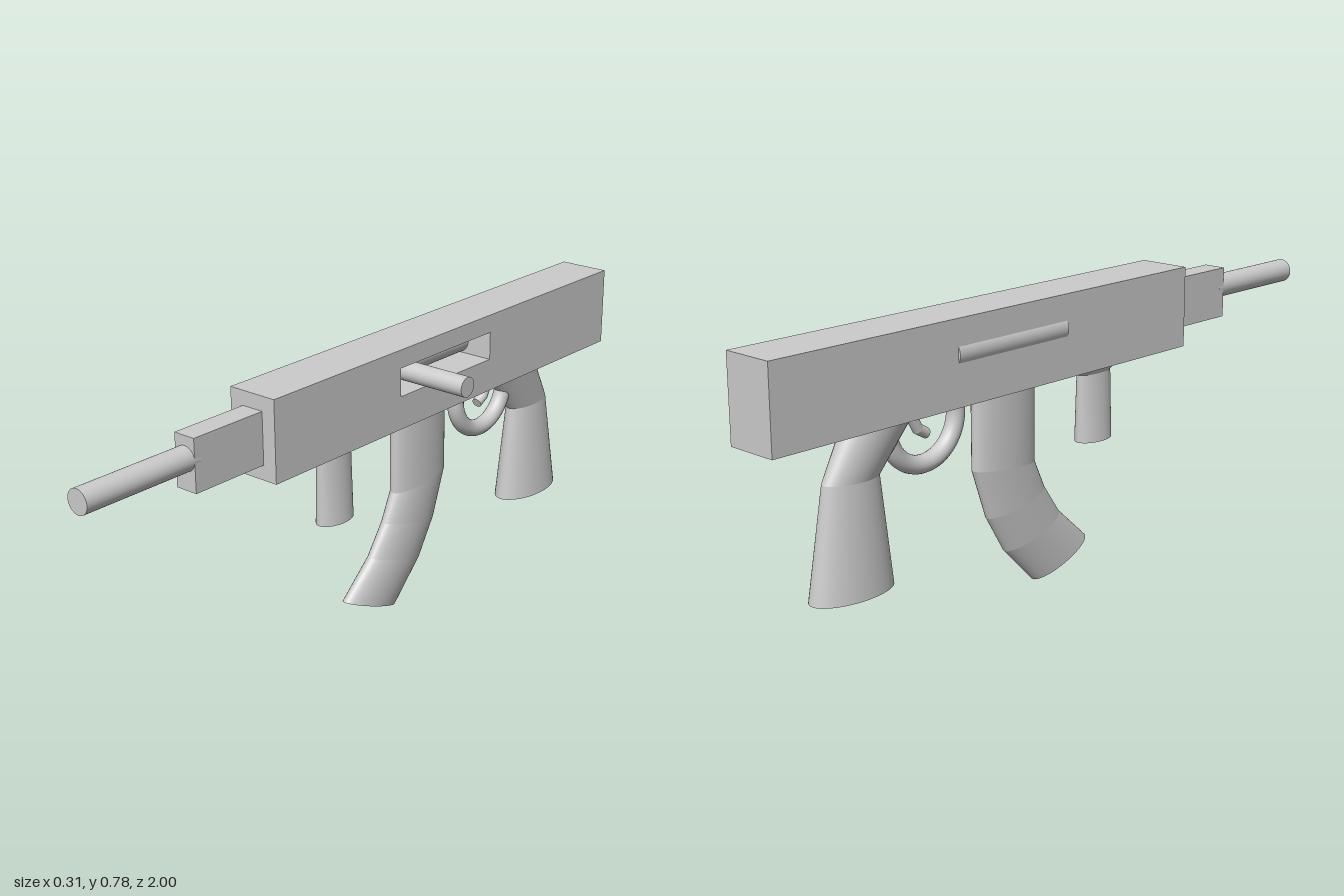
import * as THREE from 'three';

const grey = new THREE.MeshStandardMaterial({ color: 0xcccccc });
const CX = -0.0735; // centre plane of the body

function add(group, name, geometry, x = 0, y = 0, z = 0) {
  const mesh = new THREE.Mesh(geometry, grey);
  mesh.name = name;
  mesh.position.set(x, y, z);
  group.add(mesh);
  return mesh;
}

// Elliptical sections from top to bottom: [backZ, backY, frontZ, frontY, halfWidthX].
// Smooth around each segment, creased where segments meet.
function loft(sections, n = 40) {
  const pos = [], index = [];
  const ring = ([bz, by, fz, fy, hx]) => {
    const start = pos.length / 3;
    for (let i = 0; i < n; i++) {
      const a = (i / n) * Math.PI * 2, c = Math.cos(a) / 2;
      pos.push(Math.sin(a) * hx, (by + fy) / 2 + c * (fy - by), (bz + fz) / 2 + c * (fz - bz));
    }
    return start;
  };
  for (let s = 0; s < sections.length - 1; s++) {
    const t = ring(sections[s]), b = ring(sections[s + 1]);
    for (let i = 0; i < n; i++) {
      const j = (i + 1) % n;
      index.push(t + i, b + i, t + j, t + j, b + i, b + j);
    }
  }
  // end caps
  const top = ring(sections[0]), bottom = ring(sections[sections.length - 1]);
  for (let i = 1; i < n - 1; i++) {
    index.push(top, top + i, top + i + 1, bottom, bottom + i + 1, bottom + i);
  }
  const g = new THREE.BufferGeometry();
  g.setAttribute('position', new THREE.Float32BufferAttribute(pos, 3));
  g.setIndex(index);
  g.computeVertexNormals();
  return g;
}

// Closed rectangle path
function rect(path, x0, y0, x1, y1) {
  path.moveTo(x0, y0);
  path.lineTo(x1, y0);
  path.lineTo(x1, y1);
  path.lineTo(x0, y1);
  path.closePath();
  return path;
}

export function createModel() {
  const model = new THREE.Group();
  model.name = 'model';

  // Body: slotted left part over a solid right plate
  const body = new THREE.Group();
  body.name = 'body';
  model.add(body);
  const side = rect(new THREE.Shape(), -0.44, 0.562, 1, 0.785);
  side.holes.push(rect(new THREE.Path(), 0.04, 0.655, 0.43, 0.734));
  const slotted = new THREE.ExtrudeGeometry(side, { depth: 0.11, bevelEnabled: false });
  slotted.rotateY(Math.PI / 2);
  add(body, 'slottedBody', slotted, -0.11);
  add(body, 'bodyPlate', new THREE.BoxGeometry(0.037, 0.223, 1.44), -0.1285, 0.6735, -0.28);

  // Bolt in the slot and its handle
  add(model, 'bolt', new THREE.CylinderGeometry(0.039, 0.039, 0.388, 40).rotateX(Math.PI / 2), -0.114, 0.694, -0.235);
  add(model, 'boltHandle', new THREE.CylinderGeometry(0.028, 0.028, 0.262, 32).rotateZ(Math.PI / 2), 0.021, 0.692, -0.13);

  // Front block and barrel
  add(model, 'frontBlock', new THREE.BoxGeometry(0.065, 0.142, 0.25), CX, 0.674, 0.545);
  add(model, 'barrel', new THREE.CylinderGeometry(0.033, 0.033, 0.35, 40).rotateX(Math.PI / 2), CX, 0.686, 0.825);

  // Grips and magazine
  add(model, 'foregrip', loft([
    [0.04, 0.564, 0.253, 0.564, 0.04],
    [0.083, 0.533, 0.208, 0.533, 0.025],
    [0.083, 0.346, 0.208, 0.346, 0.038],
  ]), CX);
  add(model, 'magazine', loft([
    [-0.312, 0.564, -0.093, 0.564, 0.039],
    [-0.312, 0.357, -0.093, 0.34, 0.039],
    [-0.264, 0.219, -0.056, 0.261, 0.039],
    [-0.2, 0.112, 0.003, 0.176, 0.039],
    [-0.093, 0.003, 0.109, 0.08, 0.039],
  ]), CX);
  add(model, 'rearGrip', loft([
    [-0.73, 0.564, -0.522, 0.564, 0.056],
    [-0.8, 0.437, -0.632, 0.432, 0.04],
    [-0.848, 0.15, -0.6, 0.15, 0.064],
  ]), CX);

  // Trigger guard: lower arc running from the body into the rear grip
  const guard = new THREE.TorusGeometry(0.114, 0.024, 20, 48, Math.PI * 1.25);
  guard.rotateZ(Math.PI * 0.875).rotateY(Math.PI / 2);
  add(model, 'triggerGuard', guard, CX, 0.533, -0.485);

  // Trigger hook
  add(model, 'trigger', loft([
    [-0.535, 0.575, -0.505, 0.575, 0.015],
    [-0.53, 0.535, -0.5, 0.54, 0.015],
    [-0.51, 0.5, -0.49, 0.522, 0.015],
    [-0.478, 0.482, -0.467, 0.508, 0.015],
  ], 20), CX);

  return model;
}
